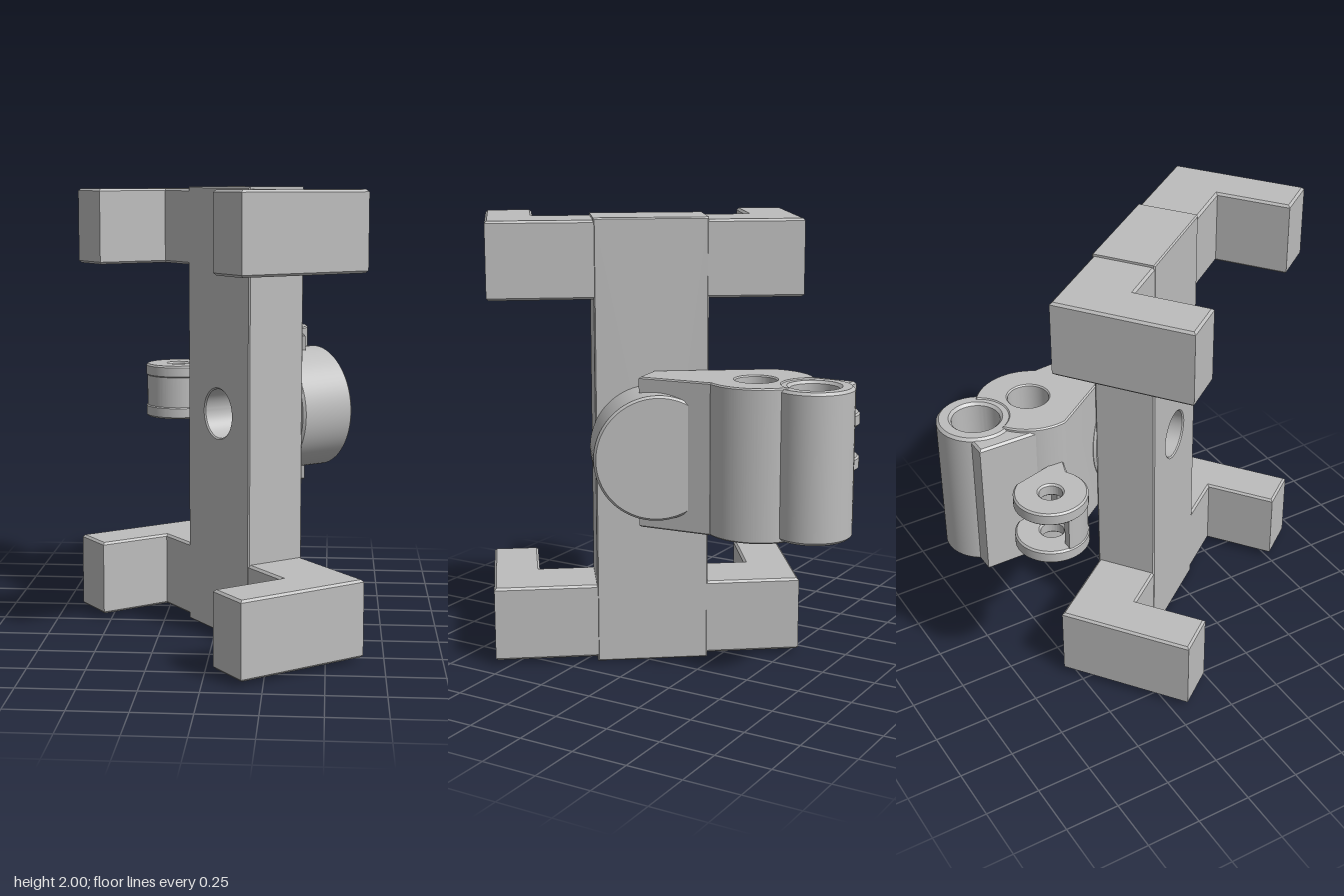
import * as THREE from 'three';
import { toCreasedNormals } from 'three/addons/utils/BufferGeometryUtils.js';

const metal = new THREE.MeshStandardMaterial({ color: 0xbdbdbd });
metal.name = 'light grey';

// Extrude a shape from 0 to depth along z, with small chamfers inside its outline
function extrude(shape, depth, bevel = 0.01) {
  const geo = new THREE.ExtrudeGeometry(shape, {
    depth: depth - 2 * bevel, curveSegments: 40, bevelEnabled: true,
    bevelSize: bevel, bevelThickness: bevel, bevelOffset: -bevel, bevelSegments: 1,
  });
  geo.translate(0, 0, bevel);
  return toCreasedNormals(geo, 0.5);
}

// Extrude a plan outline drawn in (x, z) between two heights
function plan(shape, y0, y1, bevel) {
  const geo = extrude(shape, y1 - y0, bevel);
  geo.rotateX(Math.PI / 2);
  geo.translate(0, y1, 0);
  return geo;
}

function polygon(points) {
  return new THREE.Shape(points.map(([x, y]) => new THREE.Vector2(x, y)));
}

function circle(x, y, r, Type = THREE.Shape) {
  const c = new Type();
  c.absarc(x, y, r, 0, Math.PI * 2, false);
  return c;
}

function add(parent, name, geometry) {
  const mesh = new THREE.Mesh(geometry, metal);
  mesh.name = name;
  parent.add(mesh);
  return mesh;
}

export function createModel() {
  const model = new THREE.Group();
  model.name = 'hingeBracket';

  // Frame, turned in plan; its back face lies on local z = 0
  const frame = new THREE.Group();
  frame.name = 'frame';
  frame.position.set(0.25, 0, 0.005);
  frame.rotation.y = -0.934;
  model.add(frame);

  // Upper and lower C-shaped cross bars
  const bar = polygon([
    [-0.69, 0], [0.69, 0], [0.69, 0.62], [0.48, 0.62],
    [0.48, 0.28], [-0.48, 0.28], [-0.48, 0.62], [-0.69, 0.62],
  ]);
  add(frame, 'lowerCrossBar', plan(bar, 0.02, 0.36));
  add(frame, 'upperCrossBar', plan(bar, 1.65, 1.99));

  // Column with a round hole in the middle
  const cx = -0.02;
  const column = polygon([
    [cx - 0.25, 0], [cx + 0.25, 0], [cx + 0.25, 2], [cx - 0.25, 2],
  ]);
  column.holes.push(circle(cx, 1, 0.11, THREE.Path));
  add(frame, 'column', extrude(column, 0.284, 0.006)).position.z = -0.002;

  // Round boss on the back of the column
  add(frame, 'boss', extrude(circle(cx, 1, 0.274), 0.265)).position.z = -0.26;

  // Hinge body: wing against the column, rounded end, bite for the tube
  const body = new THREE.Shape();
  body.moveTo(0.395, -0.04);
  body.lineTo(0.36, -0.37);
  body.absarc(0.16, -0.5, 0.237, 0.576, -1.007, true);
  body.absarc(0.16, -0.76, 0.14, 0.44, 2.70, false);
  body.absarc(0.16, -0.5, 0.237, -2.135, -3.357, true);
  body.lineTo(0.235, -0.02);
  body.closePath();
  body.holes.push(circle(0.185, -0.495, 0.09, THREE.Path));
  add(model, 'hingeBody', plan(body, 0.67, 1.335, 0.006));

  // Large open tube
  const tube = circle(0.165, -0.76, 0.17);
  tube.holes.push(circle(0.165, -0.76, 0.105, THREE.Path));
  add(model, 'tube', plan(tube, 0.68, 1.33, 0.012));

  // Side plate carrying the lug
  const plate = polygon([[-0.06, -0.85], [0.035, -0.85], [0.035, -0.5], [-0.06, -0.5]]);
  add(model, 'sidePlate', plan(plate, 0.68, 1.32));

  // Forked lug: two pierced ears and a curved wall between them
  const lx = -0.24, lz = -0.62;
  const ear = new THREE.Shape();
  ear.moveTo(-0.045, -0.69);
  ear.absarc(lx, lz, 0.16, -0.65, 0.95 - Math.PI * 2, true);
  ear.lineTo(-0.045, -0.46);
  ear.closePath();
  ear.holes.push(circle(lx, lz, 0.05, THREE.Path));
  for (const [name, y] of [['lowerEar', 0.875], ['upperEar', 1.075]]) {
    add(model, name, plan(ear, y, y + 0.06, 0.008));
  }
  const wall = new THREE.Shape();
  wall.moveTo(-0.05, -0.46);
  wall.absarc(lx, lz, 0.155, 0.95, Math.PI, false);
  wall.absarc(lx, lz, 0.115, Math.PI, 0.7, true);
  wall.lineTo(-0.05, -0.53);
  wall.closePath();
  add(model, 'lugWall', plan(wall, 0.92, 1.09, 0.002));

  return model;
}
